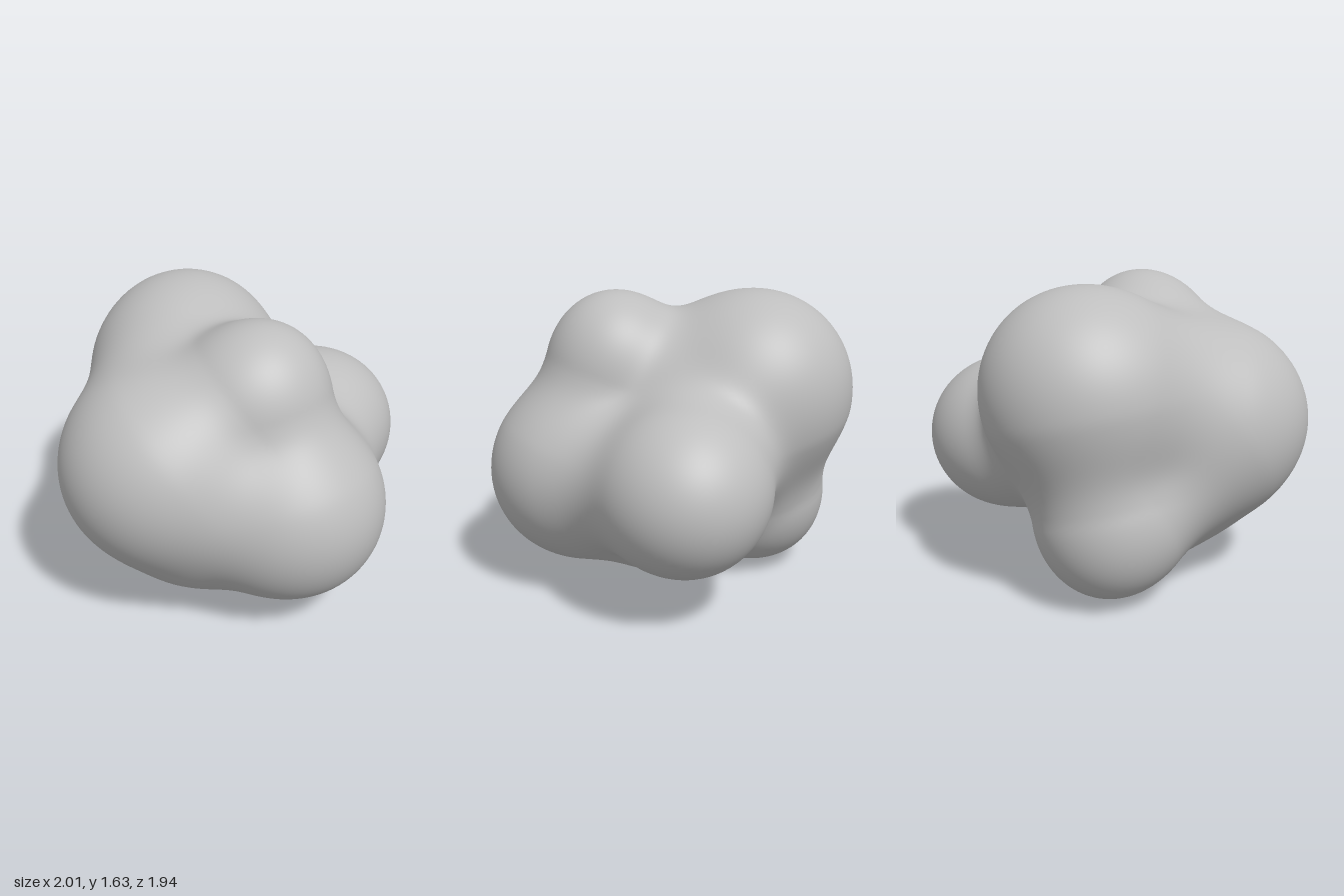
import * as THREE from 'three';
import { mergeVertices } from 'three/addons/utils/BufferGeometryUtils.js';

// Lobes of the blob: centre x, y, z and radius
const LOBES = {
  back: [-0.16, 1.11, -0.46, 0.494],
  knob: [0.05, 1.29, 0.30, 0.30],
  right: [-0.54, 0.86, 0.28, 0.435],
  front: [0.19, 0.62, 0.50, 0.435],
  left: [0.60, 0.69, -0.27, 0.39],
  foot: [-0.36, 0.34, -0.47, 0.27],
  under: [-0.08, 0.51, 0.05, 0.468],
  core: [0.00, 0.85, -0.20, 0.42],
  saddle: [-0.05, 1.08, -0.05, 0.35],
  belly: [-0.30, 0.56, 0.25, 0.41],
};

// Pairs of lobes joined by a tapered bridge, and its thickness relative to them
const BRIDGES = [
  ['knob', 'front', 0.92], ['knob', 'right', 1], ['right', 'front', 1], ['right', 'back', 1],
  ['right', 'foot', 1], ['right', 'under', 1], ['front', 'under', 0.97], ['foot', 'under', 1],
  ['foot', 'back', 0.97], ['foot', 'core', 1], ['left', 'core', 1], ['left', 'front', 0.86],
];
const BLEND = 0.06;

// Each solid is a start, an axis, its squared length and the change of radius
function solid(a, b) {
  const axis = [b[0] - a[0], b[1] - a[1], b[2] - a[2]];
  return { a, axis, len2: axis[0] ** 2 + axis[1] ** 2 + axis[2] ** 2, taper: b[3] - a[3] };
}

// Point and radius part of the way along a bridge
function station(p, q, thickness, t) {
  const s = p.map((v, i) => v + (q[i] - v) * t);
  s[3] *= thickness;
  return s;
}

const SOLIDS = [
  ...Object.values(LOBES).map((l) => solid(l, l)),
  // Bridges stop short of the lobe centres so that the tips keep their size
  ...BRIDGES.map(([p, q, thickness]) => solid(
    station(LOBES[p], LOBES[q], thickness, 0.2), station(LOBES[p], LOBES[q], thickness, 0.8))),
];

// Smoothly blended distance to all the solids
function distance(x, y, z) {
  let sum = 0;
  for (const { a, axis, len2, taper } of SOLIDS) {
    const px = x - a[0], py = y - a[1], pz = z - a[2];
    const along = px * axis[0] + py * axis[1] + pz * axis[2];
    const t = len2 > 0 ? Math.min(1, Math.max(0, along / len2)) : 0;
    const d = Math.hypot(px - axis[0] * t, py - axis[1] * t, pz - axis[2] * t);
    sum += Math.exp((a[3] + taper * t - d) / BLEND);
  }
  return -BLEND * Math.log(sum);
}

// Push each point of a fine sphere outward until it meets the blended surface
function blobGeometry() {
  let geo = new THREE.IcosahedronGeometry(1, 32);
  geo.deleteAttribute('uv');
  geo.deleteAttribute('normal');
  geo = mergeVertices(geo, 1e-4);
  const pos = geo.attributes.position;
  const dir = new THREE.Vector3();
  for (let i = 0; i < pos.count; i++) {
    dir.fromBufferAttribute(pos, i).normalize();
    let t = 0;
    for (let k = 0; k < 90; k++) {
      const d = distance(dir.x * t, 0.75 + dir.y * t, dir.z * t);
      if (d > -1e-4) break;
      t -= d * 0.9;
    }
    pos.setXYZ(i, dir.x * t, 0.75 + dir.y * t, dir.z * t);
  }
  geo.computeVertexNormals();
  return geo;
}

export function createModel() {
  const group = new THREE.Group();
  group.name = 'lumpyBlob';
  const grey = new THREE.MeshStandardMaterial({ color: 0xbebebe });
  grey.name = 'grey';
  const body = new THREE.Mesh(blobGeometry(), grey);
  body.name = 'body';
  group.add(body);
  return group;
}
